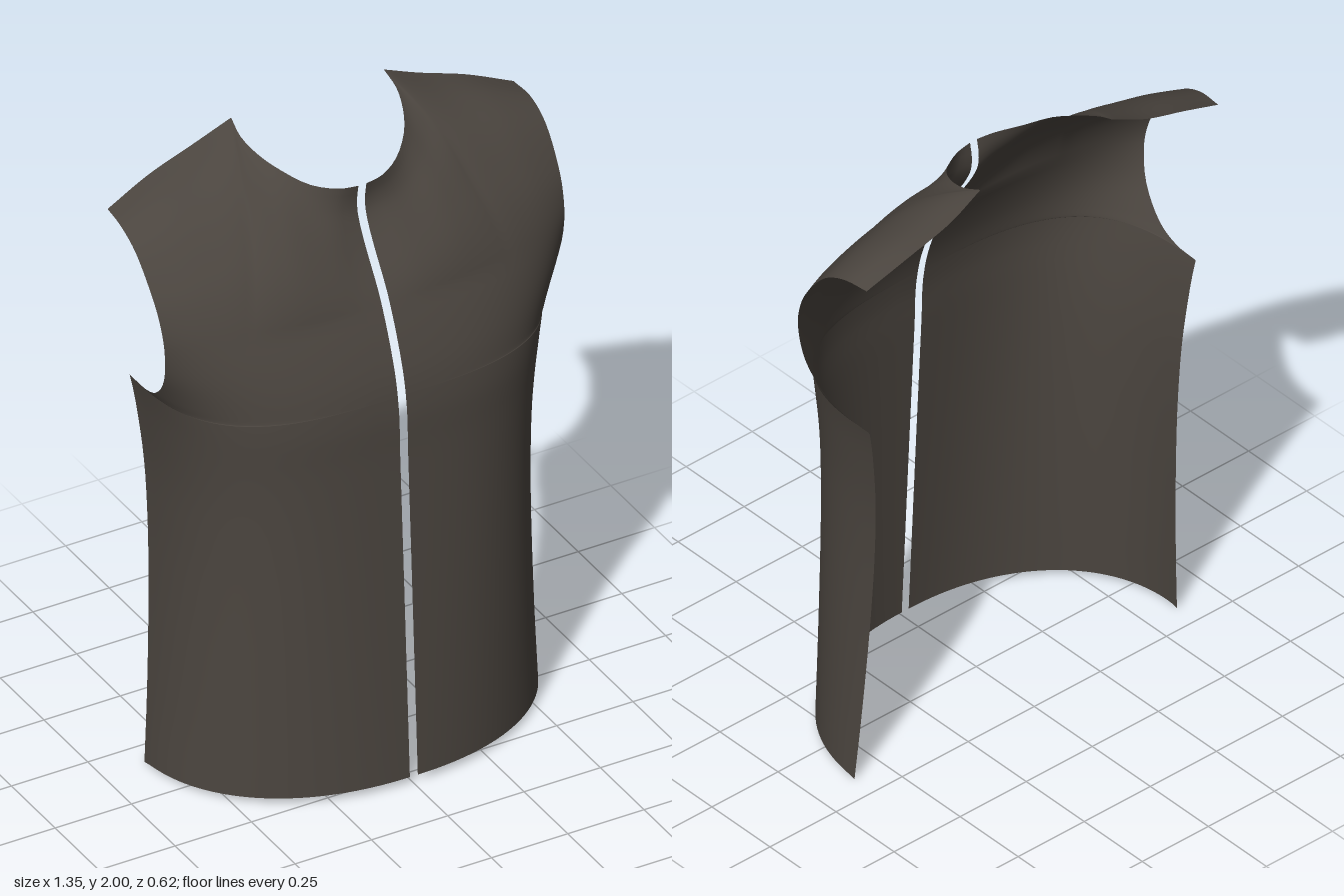
import * as THREE from 'three';

const V = (x, y, z) => new THREE.Vector3(x, y, z);
const curve = (pts) => new THREE.CatmullRomCurve3(pts.map((p) => V(...p)), false, 'centripetal');
const lerp = THREE.MathUtils.lerp;

// Smooth lookup through [key, value] pairs
function interp(table, k) {
  let i = 0;
  while (i < table.length - 2 && k > table[i + 1][0]) i++;
  const slope = (a, b) => (table[b][1] - table[a][1]) / (table[b][0] - table[a][0]);
  const last = table.length - 1;
  const m0 = slope(Math.max(i - 1, 0), i + 1), m1 = slope(i, Math.min(i + 2, last));
  const h = table[i + 1][0] - table[i][0], t = (k - table[i][0]) / h;
  const t2 = t * t, t3 = t2 * t;
  return (2 * t3 - 3 * t2 + 1) * table[i][1] + (t3 - 2 * t2 + t) * h * m0
    + (3 * t2 - 2 * t3) * table[i + 1][1] + (t3 - t2) * h * m1;
}

// Centre front depth, and half width at the side, by height
const frontZ = [[0, 0.306], [0.6, 0.276], [1.1, 0.25], [1.235, 0.244], [1.37, 0.215],
  [1.555, 0.138], [1.7, 0.045], [1.77, 0.01], [1.82, 0.004], [1.87, 0.012]];
const sideX = [[0, 0.61], [0.2, 0.596], [0.4, 0.585], [0.6, 0.577], [0.8, 0.574],
  [1, 0.58], [1.2, 0.602], [1.28, 0.617]];

// Edge curves of one half
const armhole = curve([[0.617, 1.28, -0.243], [0.62, 1.285, -0.155], [0.628, 1.317, -0.075],
  [0.643, 1.407, 0], [0.655, 1.53, 0.022], [0.662, 1.62, 0.004], [0.667, 1.69, -0.032],
  [0.672, 1.79, -0.116], [0.672, 1.83, -0.2], [0.665, 1.835, -0.285]]);
const neckline = curve([[0.013, 1.87, 0.012], [0.07, 1.872, 0], [0.14, 1.885, -0.04],
  [0.2, 1.918, -0.1], [0.237, 1.945, -0.17], [0.255, 1.973, -0.24], [0.25, 2, -0.303]]);
const shoulder = curve([[0.25, 2, -0.303], [0.37, 1.946, -0.31], [0.52, 1.895, -0.303],
  [0.665, 1.835, -0.285]]);

const GAP = 0.013, COLS = 36, CHEST = 1.28, ARM_SPLIT = 4 / 9;

// Superelliptic cross-section from the centre front to the side, cut off at depth zEnd
function section(u, y, zc, zs, xEnd, zEnd, n) {
  const max = Math.acos(Math.pow(Math.max((zEnd - zs) / (zc - zs), 0), n / 2));
  const a = u * max;
  const full = (xEnd - GAP) / Math.pow(Math.sin(max), 2 / n);
  return V(GAP + full * Math.pow(Math.sin(a), 2 / n), y,
    zs + (zc - zs) * Math.pow(Math.max(Math.cos(a), 0), 2 / n));
}

// Body below the arms
function bodyPoint(u, t) {
  const y = CHEST * t, zc = interp(frontZ, y), zs = lerp(-0.17, -0.243, t);
  const p = section(u, y, zc, zs, interp(sideX, y), zs, lerp(2.15, 3, t));
  p.y += 0.025 * (1 - t) * Math.sqrt(Math.max((p.z - zs) / (zc - zs), 0));
  return p;
}

// Chest, cut back by the lower armhole
function chestPoint(u, t) {
  const e = armhole.getPoint(t * ARM_SPLIT);
  return section(u, e.y, interp(frontZ, e.y), -0.243, e.x, e.z, lerp(3, 2.7, t));
}

// Yoke: patch between chest, centre front, upper armhole, neckline and shoulder
function yokePoint(u, t) {
  const low = (k) => chestPoint(k, 1);
  const high = (k) => (k <= 0.5 ? neckline.getPoint(k * 2) : shoulder.getPoint(k * 2 - 1));
  const y = lerp(low(0).y, 1.87, t);
  const centre = V(GAP, y, interp(frontZ, y));
  const arm = armhole.getPoint(lerp(ARM_SPLIT, 1, t));
  const p = centre.lerp(arm, u).add(low(u).lerp(high(u), t));
  p.sub(low(0).lerp(low(1), u).lerp(high(0).lerp(high(1), u), t));
  const bulge = 0.045 * Math.sin(Math.PI * u) * Math.sin(Math.PI * t);
  return p.add(V(0, 0.6 * bulge, 0.8 * bulge));
}

function halfGeometry(side) {
  const rows = [];
  const addRows = (fn, count, first) => {
    for (let r = first; r <= count; r++) {
      rows.push(Array.from({ length: COLS + 1 }, (_, c) => fn(c / COLS, r / count)));
    }
  };
  addRows(bodyPoint, 26, 0);
  addRows(chestPoint, 16, 1);
  addRows(yokePoint, 22, 1);

  const pos = [], index = [], w = COLS + 1;
  rows.flat().forEach((p) => pos.push(side * p.x, p.y, p.z));
  for (let r = 0; r < rows.length - 1; r++) {
    for (let c = 0; c < COLS; c++) {
      const a = r * w + c, b = a + 1, d = a + w, e = d + 1;
      if (side > 0) index.push(a, b, e, a, e, d);
      else index.push(a, e, b, a, d, e);
    }
  }
  const geo = new THREE.BufferGeometry();
  geo.setAttribute('position', new THREE.Float32BufferAttribute(pos, 3));
  geo.setIndex(index);
  geo.computeVertexNormals();
  return geo;
}

export function createModel() {
  const group = new THREE.Group();
  group.name = 'vestFront';
  const cloth = new THREE.MeshStandardMaterial({ color: 0x4b453f, side: THREE.DoubleSide });
  cloth.name = 'dark brown cloth';
  for (const [name, side] of [['leftFrontPanel', 1], ['rightFrontPanel', -1]]) {
    const mesh = new THREE.Mesh(halfGeometry(side), cloth);
    mesh.name = name;
    group.add(mesh);
  }
  return group;
}
